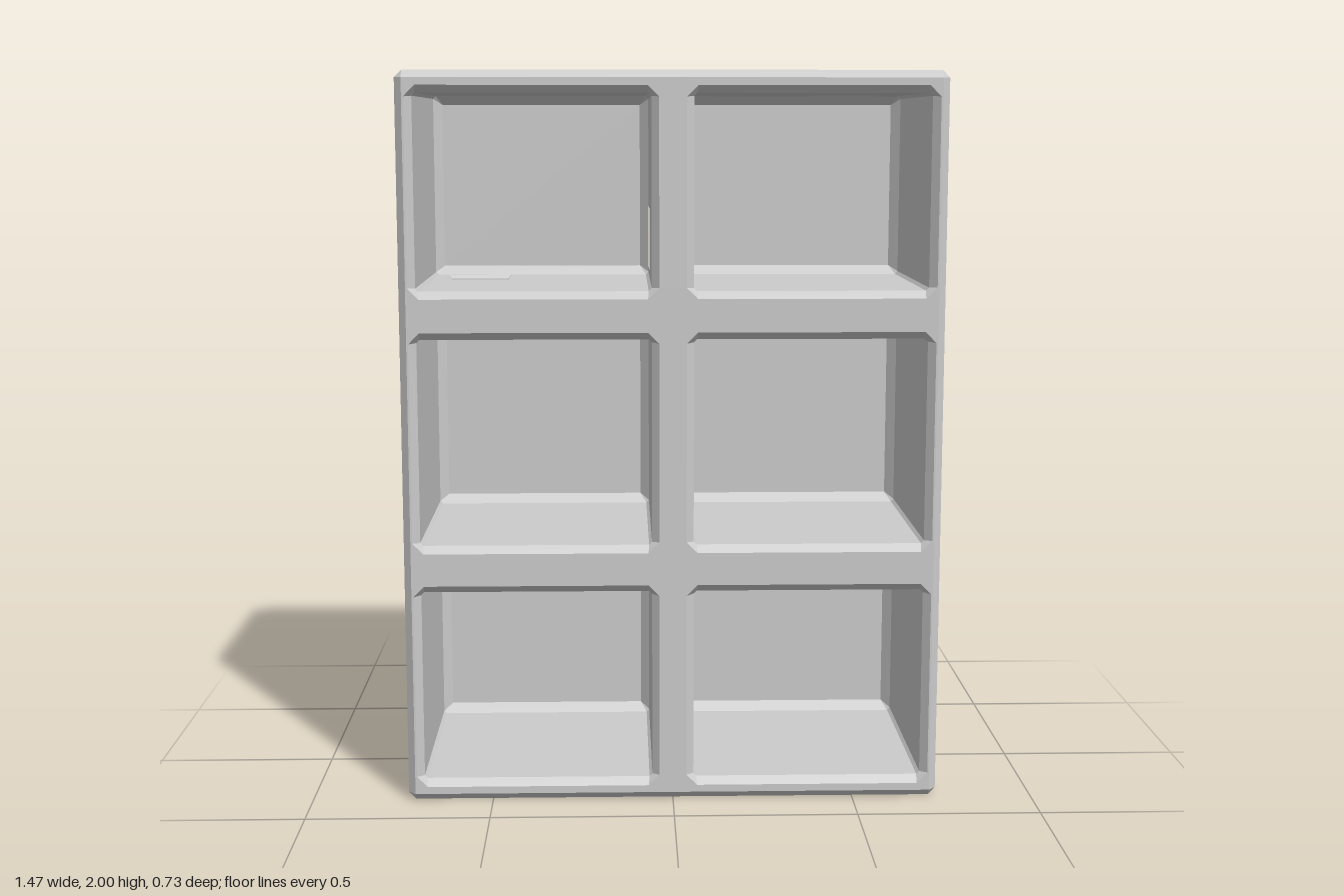
import * as THREE from 'three';

const material = new THREE.MeshStandardMaterial({ color: 0xcccccc, flatShading: true });

// Place plane coordinates (a, b) at depth d along an axis; a x b points along +axis
const place = {
  x: (a, b, d) => [d, a, b],
  y: (a, b, d) => [b, d, a],
  z: (a, b, d) => [a, b, d],
};

// Rectangle [a0, a1, b0, b1] with its corners cut by c, counter-clockwise
const outline = ([a0, a1, b0, b1], c = 0) => [
  [a0 + c, b0], [a1 - c, b0], [a1, b0 + c], [a1, b1 - c],
  [a1 - c, b1], [a0 + c, b1], [a0, b1 - c], [a0, b0 + c],
];
const inset = ([a0, a1, b0, b1], t) => [a0 + t, a1 - t, b0 + t, b1 - t];
const ring = (axis, rect, c, d) =>
  outline(rect, c).map(([a, b]) => new THREE.Vector3(...place[axis](a, b, d)));

// Strips between successive rings; rising rings face outward, falling rings inward
function loft(out, rings, skip = () => false) {
  const triangle = (p, q, r) => {
    const area = q.clone().sub(p).cross(r.clone().sub(p)).length();
    if (area > 1e-9) for (const v of [p, q, r]) out.push(v.x, v.y, v.z);
  };
  for (let k = 0; k < rings.length - 1; k++) {
    const A = rings[k], B = rings[k + 1];
    for (let i = 0; i < 8; i++) {
      if (skip(k, i)) continue;
      const j = (i + 1) % 8;
      triangle(A[i], A[j], B[j]);
      triangle(A[i], B[j], B[i]);
    }
  }
}

// Flat panel with optional holes, facing +axis or, if flipped, -axis
function panel(out, axis, rect, c, d, holes = [], flip = false) {
  const points = (r, cut) => outline(r, cut)
    .map(([a, b]) => new THREE.Vector2(a, b))
    .filter((p, i, all) => i === 0 || p.distanceTo(all[i - 1]) > 1e-6)
    .filter((p, i, all) => i === 0 || p.distanceTo(all[0]) > 1e-6);
  const shape = new THREE.Shape(points(rect, c));
  for (const h of holes) shape.holes.push(new THREE.Path(points(h.rect, h.cut)));
  const flat = new THREE.ShapeGeometry(shape).toNonIndexed().attributes.position;
  for (let i = 0; i < flat.count; i += 3) {
    for (const k of flip ? [0, 2, 1] : [0, 1, 2]) {
      out.push(...place[axis](flat.getX(i + k), flat.getY(i + k), d));
    }
  }
}

function part(group, name, build) {
  const out = [];
  build(out);
  const geometry = new THREE.BufferGeometry();
  geometry.setAttribute('position', new THREE.Float32BufferAttribute(out, 3));
  geometry.computeVertexNormals();
  const mesh = new THREE.Mesh(geometry, material);
  mesh.name = name;
  group.add(mesh);
}

export function createModel() {
  const group = new THREE.Group();
  group.name = 'cubbyShelf';

  const bevel = 0.02, half = 0.365;
  const body = [-0.735, 0.735, 0, 2];
  const face = inset(body, bevel);

  // Square passages: rect in the plane across the axis, from depth hi down to lo
  const passages = {
    topOpening: { axis: 'y', rect: [-0.245, -0.065, 0.42, 0.605], hi: 2, lo: 1.94 },
    dividerOpening: { axis: 'x', rect: [1.44, 1.62, -0.21, -0.025], hi: 0.055, lo: -0.055 },
    floorOpening: { axis: 'y', rect: [-0.245, -0.065, -0.65, -0.465], hi: 1.415, lo: 1.285 },
  };
  const holeOf = (name) => ({ rect: passages[name].rect, cut: 0 });

  // Compartment openings, at the outer edge of their bevelled rims
  const rows = [[0.04, 0.61], [0.70, 1.305], [1.395, 1.96]];
  const columns = [[-0.71, -0.037], [0.037, 0.71]];
  const cells = [];
  rows.forEach((y, row) => columns.forEach((x, column) => cells.push({ row, column, rect: [...x, ...y] })));

  // Bevelled outer casing with the opening in its top
  part(group, 'casing', (out) => {
    loft(out, [
      ring('z', face, 0, -half),
      ring('z', body, bevel, -half + bevel),
      ring('z', body, bevel, half - bevel),
      ring('z', face, 0, half),
    ], (k, i) => k === 1 && i === 4);
    panel(out, 'y', [-half + bevel, half - bevel, face[0], face[1]], 0, 2, [holeOf('topOpening')]);
    panel(out, 'z', face, 0, -half, [], true);
  });

  // Front frame around the six compartments
  part(group, 'frontFrame', (out) =>
    panel(out, 'z', face, 0, half, cells.map(({ rect }) => ({ rect, cut: 0.03 }))));

  // Compartment sides that carry an opening, keyed by row and column
  const pierced = {
    '2,1': [{ side: 4, opening: 'topOpening' }, { side: 6, opening: 'dividerOpening' }],
    '2,0': [{ side: 0, opening: 'floorOpening' }, { side: 2, opening: 'dividerOpening' }],
    '1,0': [{ side: 4, opening: 'floorOpening' }],
  };

  // Compartments with a bevelled rim and a bevelled back edge
  const rear = -0.28, rearBevel = 0.028, cut = 0.008;
  for (const { row, column, rect } of cells) {
    part(group, `compartment${row + 1}${column ? 'Left' : 'Right'}`, (out) => {
      const wall = inset(rect, 0.02), back = inset(wall, 0.025);
      const z0 = rear + rearBevel, z1 = half - bevel;
      const open = pierced[`${row},${column}`] || [];
      loft(out, [
        ring('z', rect, 0.03, half),
        ring('z', wall, cut, z1),
        ring('z', wall, cut, z0),
        ring('z', back, 0, rear),
      ], (k, i) => k === 1 && open.some((o) => o.side === i));
      panel(out, 'z', back, 0, rear);
      const [x0, x1, y0, y1] = wall;
      for (const { side, opening } of open) {
        const holes = [holeOf(opening)];
        if (side === 0 || side === 4) {
          panel(out, 'y', [z0, z1, x0 + cut, x1 - cut], 0, side ? y1 : y0, holes, side === 4);
        } else {
          panel(out, 'x', [y0 + cut, y1 - cut, z0, z1], 0, side === 2 ? x1 : x0, holes, side === 2);
        }
      }
    });
  }

  // Passage linings, slightly flared at both ends
  for (const [name, { axis, rect, hi, lo }] of Object.entries(passages)) {
    const flare = 0.01, neck = inset(rect, flare);
    part(group, name, (out) => loft(out, [
      ring(axis, rect, 0, hi),
      ring(axis, neck, 0, hi - flare),
      ring(axis, neck, 0, lo + flare),
      ring(axis, rect, 0, lo),
    ]));
  }

  return group;
}
